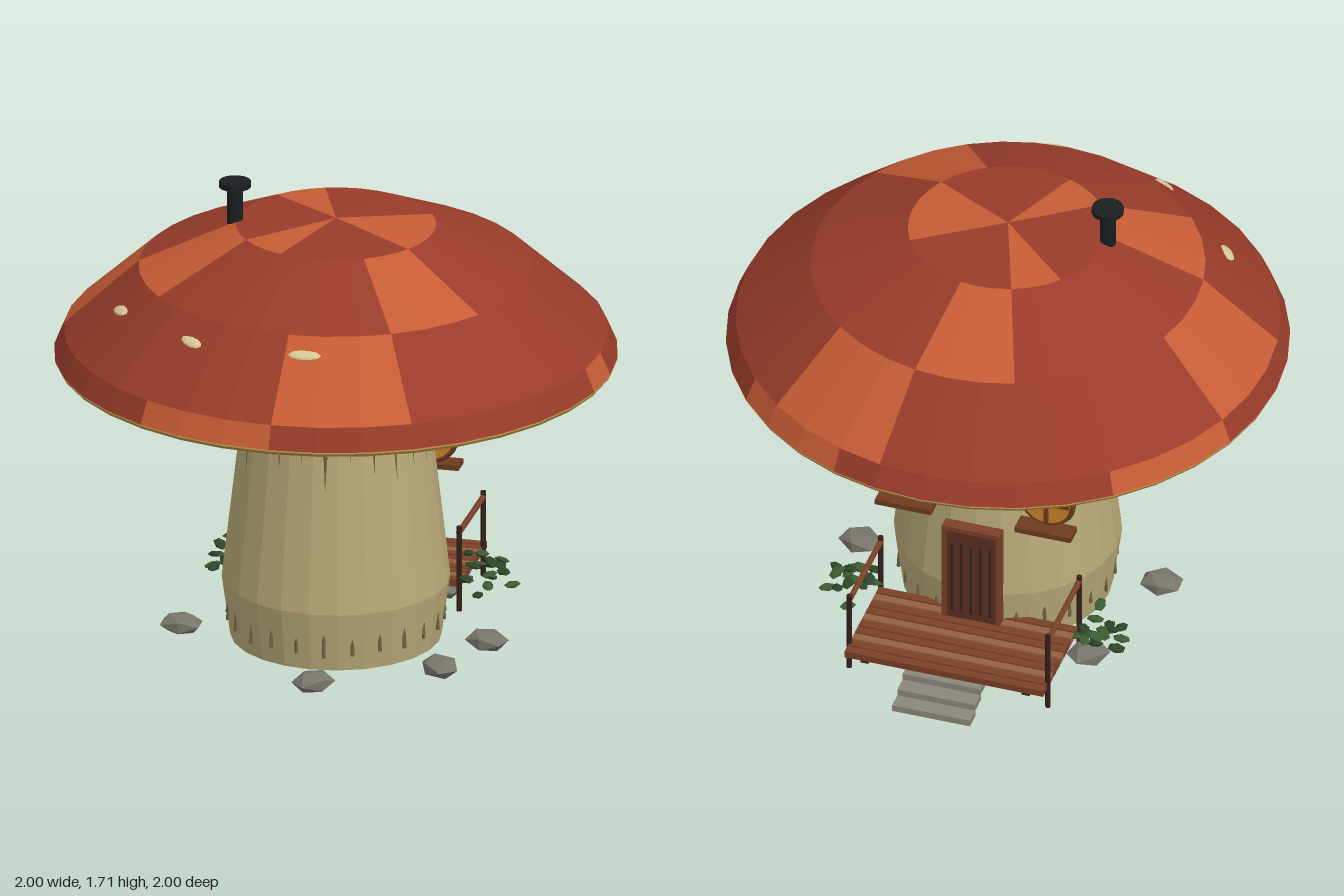
import * as THREE from 'three';

const mat = (color, side = THREE.FrontSide) =>
  new THREE.MeshStandardMaterial({ color, flatShading: true, side });
const M = {
  stem: mat(0xb8a978, THREE.DoubleSide), rib: mat(0x6f6240), gold: mat(0xb08a42),
  red: mat(0x993c2a, THREE.DoubleSide), orange: mat(0xc65c35, THREE.DoubleSide),
  under: mat(0x4a1d17, THREE.DoubleSide), underLight: mat(0x603020, THREE.DoubleSide),
  spot: mat(0xd6c796), iron: mat(0x1a1e20), wood: mat(0x7a4028), woodLight: mat(0x936040),
  dark: mat(0x33201a), door: mat(0x5c2e20), frame: mat(0x6e3a1e), glass: mat(0xc9802a),
  rock: mat(0x77756c), step: mat(0x8a877c), leaf: mat(0x3c5a30), leafDark: mat(0x2c4526),
};

function add(parent, name, geo, material, x = 0, y = 0, z = 0) {
  const m = new THREE.Mesh(geo, material);
  m.name = name;
  m.position.set(x, y, z);
  parent.add(m);
  return m;
}
function group(parent, name, x = 0, y = 0, z = 0) {
  const g = new THREE.Group();
  g.name = name;
  g.position.set(x, y, z);
  parent.add(g);
  return g;
}
const box = (w, h, d) => new THREE.BoxGeometry(w, h, d);
const cyl = (r, h, n = 8) => new THREE.CylinderGeometry(r, r, h, n);
const rad = THREE.MathUtils.degToRad;

let seed = 7;
const rand = () => (seed = (seed * 16807) % 2147483647) / 2147483647;

// One ring of the cap, split into base and accent sectors (degrees from +z)
function band(parent, name, points, patches, base, accent) {
  const pts = points.map(([r, y]) => new THREE.Vector2(r, y));
  const sector = (a, b, material) => {
    if (b > a) add(parent, name, new THREE.LatheGeometry(pts, (b - a) / 10, rad(a), rad(b - a)), material);
  };
  let last = 0;
  for (const [a, b] of patches) {
    sector(last, a, base);
    sector(a, b, accent);
    last = b;
  }
  sector(last, 360, base);
}

function buildCap(root) {
  const cap = group(root, 'cap');
  band(cap, 'capUnderside', [[0, 1.052], [0.9, 1.037], [0.985, 1.078]],
    [[40, 70], [150, 180], [270, 300]], M.under, M.underLight);
  band(cap, 'capRim', [[1, 1.09], [0.965, 1.172]],
    [[80, 90], [130, 160], [220, 250], [330, 360]], M.red, M.orange);
  band(cap, 'capOuterRing', [[0.965, 1.172], [0.7, 1.415]],
    [[0, 30], [140, 170], [250, 280]], M.red, M.orange);
  band(cap, 'capMiddleRing', [[0.7, 1.415], [0.355, 1.572]],
    [[30, 60], [170, 200], [280, 310]], M.red, M.orange);
  band(cap, 'capCrown', [[0.355, 1.572], [0, 1.595]],
    [[60, 120], [200, 230], [310, 340]], M.red, M.orange);
  add(cap, 'rimTrim', new THREE.TorusGeometry(0.986, 0.013, 6, 36), M.gold, 0, 1.084, 0).rotation.x = Math.PI / 2;

  // Short gills around the stem
  for (let i = 0; i < 36; i++) {
    const a = rad(i * 10 + 5), r = 0.39;
    add(cap, 'gill', box(0.005, 0.016, 0.16), M.rib, r * Math.sin(a), 1.046, r * Math.cos(a)).rotation.y = a;
  }

  // Flat pale spots lying on the slope: x, y, z, half-length, twist
  for (const [x, y, z, s, twist] of [
    [0.07, 1.363, 0.75, 0.06, 0], [-0.36, 1.348, 0.68, 0.052, -0.2],
    [-0.685, 1.33, 0.4, 0.045, 0.15], [-0.45, 1.345, -0.595, 0.05, 0.15]]) {
    const spot = group(cap, 'spotMount', x, y, z);
    spot.rotation.set(rad(25), Math.atan2(x, z), 0, 'YXZ');
    const m = add(spot, 'spot', new THREE.SphereGeometry(1, 10, 6), M.spot);
    m.scale.set(s, 0.009, 0.024);
    m.rotation.y = twist;
  }
}

function buildStem(root) {
  const pts = [[0.375, 0.02], [0.405, 0.24], [0.315, 1.02]].map(p => new THREE.Vector2(...p));
  add(root, 'stem', new THREE.LatheGeometry(pts, 24), M.stem);
  // Straight ribs that surface only near the foot and the top
  for (let i = 0; i < 24; i++) {
    const pivot = group(root, 'ribMount');
    pivot.rotation.y = rad(i * 15 + 7.5);
    const low = 0.07 + 0.02 * rand();
    const rib = add(pivot, 'rib', cyl(0.007, 1.015 - low, 5), M.rib, 0, (1.015 + low) / 2, 0.349 + 0.006 * rand());
    rib.rotation.x = -0.076;
  }
}

function buildWindow(root, x) {
  const w = group(root, 'window', x, 0.665, -0.345);
  add(w, 'glass', cyl(0.088, 0.03, 20), M.glass).rotation.x = Math.PI / 2;
  add(w, 'windowFrame', new THREE.TorusGeometry(0.09, 0.016, 6, 20), M.frame);
  add(w, 'windowBar', box(0.016, 0.17, 0.02), M.frame, 0, 0, -0.012);
  add(w, 'windowBar', box(0.17, 0.016, 0.02), M.frame, 0, 0, -0.012);
  add(w, 'windowSill', box(0.21, 0.02, 0.075), M.frame, 0, -0.113, -0.02);
}

function buildDoor(root) {
  const d = group(root, 'door', 0, 0.315, -0.402);
  add(d, 'doorPanel', box(0.2, 0.41, 0.036), M.door);
  for (let i = -2; i <= 2; i++) add(d, 'doorSlat', box(0.007, 0.3, 0.012), M.dark, i * 0.035, -0.01, -0.02);
  for (const s of [-1, 1]) add(d, 'doorJamb', box(0.016, 0.41, 0.046), M.wood, s * 0.1, 0, 0);
  add(d, 'doorLintel', box(0.216, 0.018, 0.046), M.wood, 0, 0.2, 0);
}

function buildPorch(root) {
  const p = group(root, 'porch');
  for (let i = 0; i < 10; i++)
    add(p, 'plank', box(0.74, 0.026, 0.033), i % 3 === 1 ? M.woodLight : M.wood, 0, 0.11, -0.355 - i * 0.04);
  for (const x of [-0.3, 0, 0.3]) add(p, 'joist', box(0.03, 0.02, 0.36), M.dark, x, 0.089, -0.54);
  // Railings on both sides
  for (const x of [-0.37, 0.37]) {
    for (const z of [-0.32, -0.677]) add(p, 'railPost', cyl(0.01, 0.32), M.dark, x, 0.175, z);
    add(p, 'handrail', cyl(0.011, 0.36), M.wood, x, 0.312, -0.4985).rotation.x = Math.PI / 2;
  }
  for (let i = 0; i < 3; i++)
    add(p, 'step', box(0.29, 0.025, 0.065), M.step, 0, 0.083 - i * 0.026, -0.725 - i * 0.06);
}

function buildGarden(root) {
  // Flat stones around the foot
  for (const [x, z] of [[0.05, 0.54], [0.45, 0.29], [0.55, 0], [0.27, -0.46],
    [-0.2, -0.5], [-0.42, -0.37], [-0.54, 0.1]]) {
    const r = add(root, 'rock', new THREE.IcosahedronGeometry(1, 0), M.rock, x, 0.042, z);
    r.scale.set(0.082, 0.04, 0.068);
    r.rotation.y = rand() * 2 - 1;
  }
  // Leafy tufts either side of the porch
  for (const s of [-1, 1]) {
    const bush = group(root, 'bush', s * 0.46, 0.145, -0.36);
    for (let i = 0; i < 16; i++) {
      const a = i * 2.4, r = 0.1 * Math.sqrt((i + 0.5) / 16);
      const leaf = add(bush, 'leaf', new THREE.IcosahedronGeometry(1, 0), i % 2 ? M.leaf : M.leafDark,
        r * Math.cos(a), (rand() - 0.5) * 0.12, r * Math.sin(a));
      leaf.scale.set(0.034, 0.011, 0.022);
      leaf.rotation.set((rand() - 0.5) * 0.6, rand() * 6, (rand() - 0.5) * 0.7);
    }
  }
}

export function createModel() {
  const root = new THREE.Group();
  root.name = 'mushroomHouse';
  buildStem(root);
  buildCap(root);
  for (const x of [-0.26, 0.26]) buildWindow(root, x);
  buildDoor(root);
  buildPorch(root);
  buildGarden(root);
  // Chimney
  const chimney = group(root, 'chimney', -0.358, 0, 0.042);
  add(chimney, 'chimneyPipe', cyl(0.029, 0.19, 12), M.iron, 0, 1.593, 0);
  add(chimney, 'chimneyCap', cyl(0.057, 0.02, 16), M.iron, 0, 1.707, 0);
  add(chimney, 'chimneyPin', cyl(0.01, 0.03, 6), M.iron, 0, 1.69, 0);
  return root;
}
